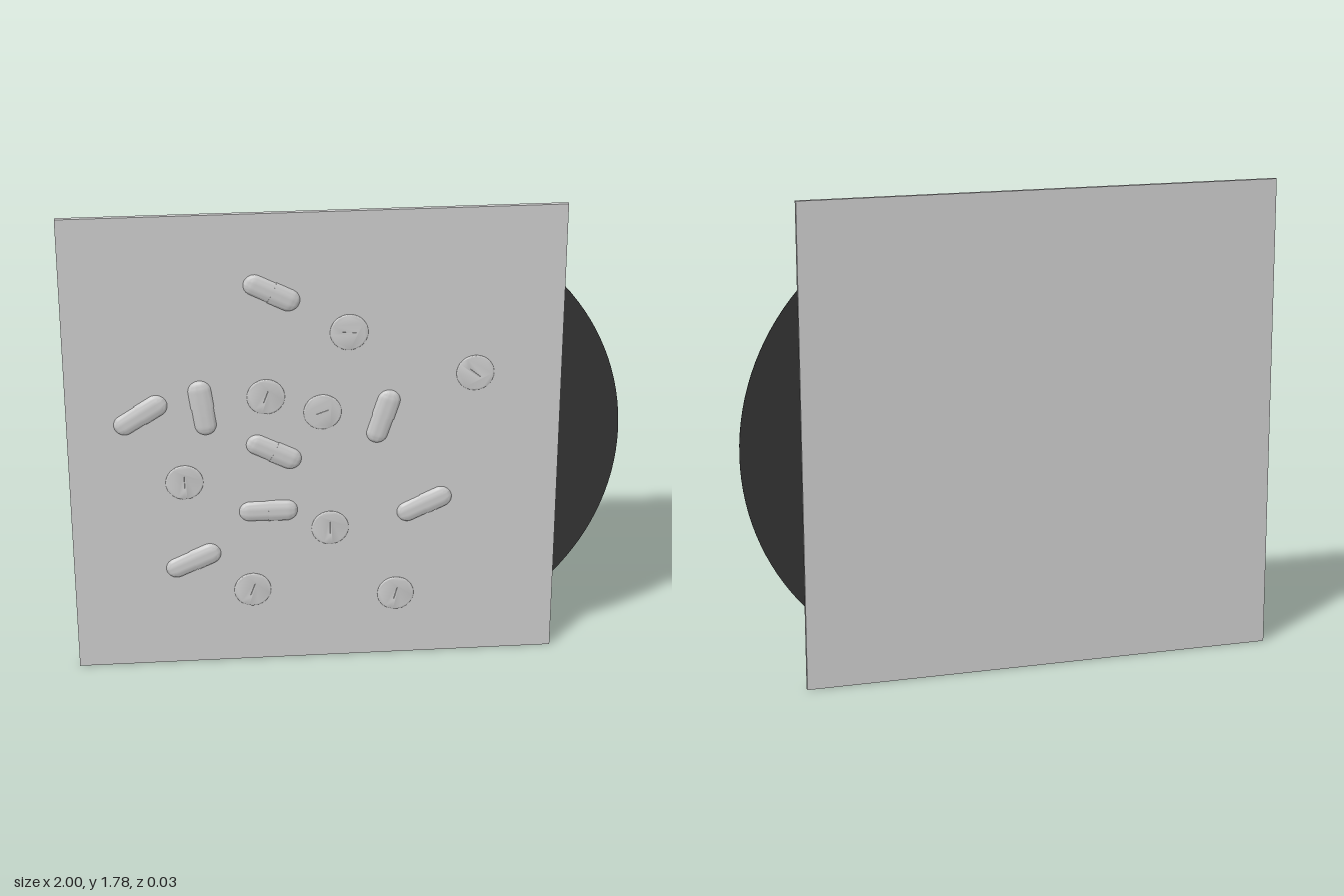
import * as THREE from 'three';
import { toCreasedNormals } from 'three/addons/utils/BufferGeometryUtils.js';

const grey = new THREE.MeshStandardMaterial({ color: 0xcccccc });
const dark = new THREE.MeshStandardMaterial({ color: 0x333333 });
const rad = THREE.MathUtils.degToRad;

// Sleeve extents
const LEFT = -1, RIGHT = 0.78, HEIGHT = 1.78, BACK = -0.017, FRONT = 0, WALL = 0.005;

function addMesh(parent, name, geometry, material = grey) {
  const mesh = new THREE.Mesh(geometry, material);
  mesh.name = name;
  parent.add(mesh);
  return mesh;
}

function addBox(parent, name, x0, x1, y0, y1, z0, z1) {
  addMesh(parent, name, new THREE.BoxGeometry(x1 - x0, y1 - y0, z1 - z0))
    .position.set((x0 + x1) / 2, (y0 + y1) / 2, (z0 + z1) / 2);
}

// Two-part capsule along x: the lid half is slightly wider; flattened, with its back cut flat
function capsuleGeometry() {
  const half = 0.107, body = 0.039, lid = 0.0415, steps = 8;
  const points = [];
  for (let i = 0; i <= steps; i++) {
    const a = (i / steps) * Math.PI / 2;
    points.push(new THREE.Vector2(body * Math.sin(a), -half + body * (1 - Math.cos(a))));
  }
  points.push(new THREE.Vector2(body, 0), new THREE.Vector2(lid, 0));
  for (let i = steps; i >= 0; i--) {
    const a = (i / steps) * Math.PI / 2;
    points.push(new THREE.Vector2(lid * Math.sin(a), half - lid * (1 - Math.cos(a))));
  }
  const geometry = new THREE.LatheGeometry(points, 32);
  geometry.rotateZ(-Math.PI / 2).scale(1, 1, 0.41);
  const p = geometry.attributes.position;
  for (let i = 0; i < p.count; i++) p.setZ(i, Math.max(p.getZ(i), -0.001));
  return toCreasedNormals(geometry, rad(40));
}

// Round tablet with a bevelled rim and a short score slot along x
function tabletGeometry() {
  const shape = new THREE.Shape().absarc(0, 0, 0.062, 0, Math.PI * 2);
  const slot = new THREE.Path();
  slot.moveTo(-0.03, -0.006).lineTo(-0.03, 0.006).lineTo(0.03, 0.006).lineTo(0.03, -0.006).closePath();
  shape.holes.push(slot);
  const geometry = new THREE.ExtrudeGeometry(shape, {
    depth: 0.002, bevelThickness: 0.003, bevelSize: 0.006, bevelOffset: 0, bevelSegments: 3, curveSegments: 24,
  });
  return toCreasedNormals(geometry, rad(40));
}

export function createModel() {
  const model = new THREE.Group();
  model.name = 'discInSleeve';

  // Hollow sleeve, open on its +x side
  const sleeve = new THREE.Group();
  sleeve.name = 'sleeve';
  model.add(sleeve);
  addBox(sleeve, 'frontPanel', LEFT, RIGHT, 0, HEIGHT, FRONT - WALL, FRONT);
  addBox(sleeve, 'backPanel', LEFT, RIGHT, 0, HEIGHT, BACK, BACK + WALL);
  addBox(sleeve, 'bottomEdge', LEFT, RIGHT, 0, 0.01, BACK + WALL, FRONT - WALL);
  addBox(sleeve, 'topEdge', LEFT, RIGHT, HEIGHT - 0.01, HEIGHT, BACK + WALL, FRONT - WALL);
  addBox(sleeve, 'closedSide', LEFT, LEFT + 0.01, 0.01, HEIGHT - 0.01, BACK + WALL, FRONT - WALL);

  // Disc with a centre hole, sliding out of the sleeve
  const R = 0.868;
  const discShape = new THREE.Shape().absarc(0, 0, R, 0, Math.PI * 2);
  discShape.holes.push(new THREE.Path().absarc(0, 0, 0.11, 0, Math.PI * 2, true));
  const disc = addMesh(model, 'disc', toCreasedNormals(
    new THREE.ExtrudeGeometry(discShape, { depth: 0.004, bevelEnabled: false, curveSegments: 64 }), rad(40)), dark);
  disc.position.set(1 - R, 0.892, -0.0105);

  // Capsules in relief on the front: x, y, angle
  const capsule = capsuleGeometry();
  [
    [-0.26, 1.485, -27], [-0.735, 1.03, 32], [-0.513, 1.05, 98], [-0.26, 0.865, -27],
    [0.136, 0.99, 72], [-0.283, 0.625, 0], [0.29, 0.627, 25], [-0.562, 0.43, 24],
  ].forEach(([x, y, angle]) => {
    const mesh = addMesh(model, 'capsule', capsule);
    mesh.position.set(x, y, FRONT);
    mesh.rotation.z = rad(angle);
  });

  // Scored tablets on the front: x, y, slot angle
  const tablet = tabletGeometry();
  [
    [0.013, 1.325, -3], [0.467, 1.15, -40], [-0.286, 1.085, 70], [-0.083, 1.017, 20],
    [-0.586, 0.755, 90], [-0.057, 0.545, 90], [-0.346, 0.298, 70], [0.187, 0.256, 75],
  ].forEach(([x, y, angle]) => {
    const mesh = addMesh(model, 'tablet', tablet);
    mesh.position.set(x, y, FRONT + 0.001);
    mesh.rotation.z = rad(angle);
  });

  return model;
}
